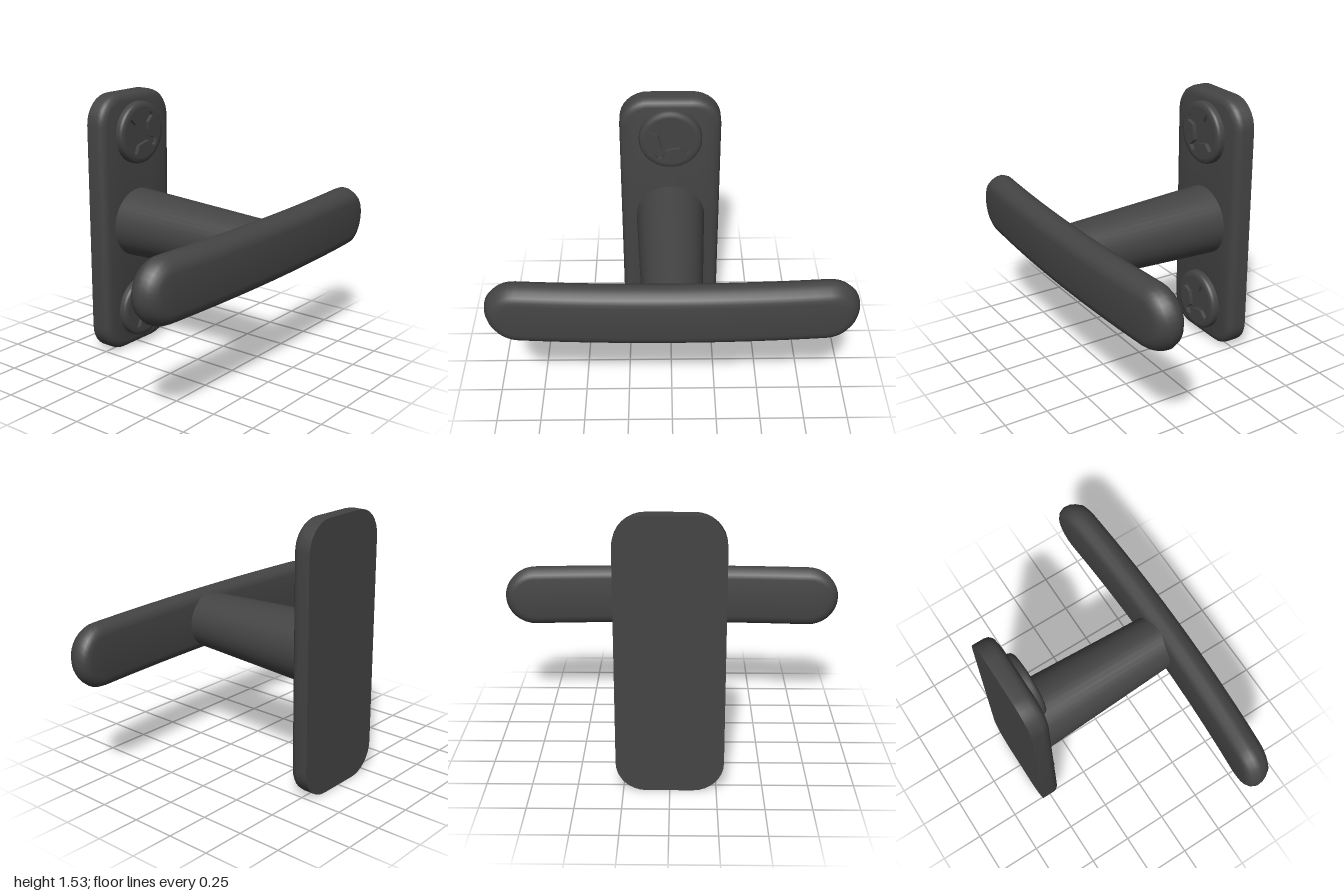
import * as THREE from 'three';
import { toCreasedNormals } from 'three/addons/utils/BufferGeometryUtils.js';

const material = new THREE.MeshStandardMaterial({ color: 0x444444 });

function add(parent, name, geometry) {
  const mesh = new THREE.Mesh(geometry, material);
  mesh.name = name;
  parent.add(mesh);
  return mesh;
}

// Counter-clockwise rounded rectangle; the lower half mirrors the upper half
function outline(hx, hy, r, spans) {
  const top = [], steps = 8;
  const arc = (cx, from) => {
    for (let i = 0; i <= steps; i++) {
      const a = from + (i / steps) * Math.PI / 2;
      top.push([cx + r * Math.cos(a), hy - r + r * Math.sin(a)]);
    }
  };
  arc(hx - r, 0);
  for (let i = 1; i < spans; i++) top.push([(hx - r) * (1 - 2 * i / spans), hy]);
  arc(r - hx, Math.PI / 2);
  return [...top, ...top.slice().reverse().map(([x, y]) => [x, -y])];
}

// Stacks inset outlines from back to front: layers are [inset, z]
function roundedSlab(hx, hy, r, spans, layers, bend = 0) {
  const pos = [], idx = [];
  let n = 0;
  for (const [inset, z] of layers) {
    const ring = outline(hx - inset, hy - inset, r - inset, spans);
    n = ring.length;
    for (const [x, y] of ring) pos.push(x, y, z - bend * x * x);
  }
  const quad = (a, b, c, d) => idx.push(a, b, c, a, c, d);
  for (let k = 0; k < layers.length - 1; k++) {
    for (let i = 0; i < n; i++) {
      const j = (i + 1) % n;
      quad(k * n + i, k * n + j, (k + 1) * n + j, (k + 1) * n + i);
    }
  }
  const f = (layers.length - 1) * n;
  for (let i = 0; i < n / 2 - 1; i++) {
    quad(f + i, f + i + 1, f + n - 2 - i, f + n - 1 - i);
    quad(n - 1 - i, n - 2 - i, i + 1, i);
  }
  const g = new THREE.BufferGeometry();
  g.setAttribute('position', new THREE.Float32BufferAttribute(pos, 3));
  g.setIndex(idx);
  return toCreasedNormals(g, 0.75);
}

// Cross-shaped driver recess with narrow arms that flare at the tips
function crossPath() {
  const points = [];
  for (let k = 0; k < 4; k++) {
    const a = (57 + 90 * k) * Math.PI / 180;
    const put = (r, w) => points.push(new THREE.Vector2(
      r * Math.cos(a) - w * Math.sin(a), r * Math.sin(a) + w * Math.cos(a)));
    put(0.075, -0.013);
    put(0.125, -0.024);
    put(0.138, 0);
    put(0.125, 0.024);
    put(0.075, 0.013);
    put(0.042, 0.042);
  }
  return new THREE.Path(points);
}

function createScrew() {
  const screw = new THREE.Group();
  // Rounded rim
  const profile = [[0.18, -0.01], [0.18, 0.022], [0.176, 0.034], [0.168, 0.042], [0.15, 0.045]]
    .map(([r, y]) => new THREE.Vector2(r, y));
  add(screw, 'screwRim', new THREE.LatheGeometry(profile, 40).rotateX(Math.PI / 2));
  // Face pierced by the recess, with a floor below it
  const face = new THREE.Shape().absarc(0, 0, 0.15, 0, Math.PI * 2);
  face.holes.push(crossPath());
  const faceGeometry = new THREE.ExtrudeGeometry(face, { depth: 0.025, bevelEnabled: false, curveSegments: 20 });
  add(screw, 'screwFace', faceGeometry.translate(0, 0, 0.02));
  add(screw, 'screwRecessFloor', new THREE.CircleGeometry(0.15, 40).translate(0, 0, 0.022));
  return screw;
}

export function createModel() {
  const model = new THREE.Group();
  model.name = 'wallHook';
  const midY = 0.763;

  // Wall plate: flat back, softened front edge
  add(model, 'wallPlate', roundedSlab(0.29, 0.765, 0.165, 1, [
    [0, -0.558], [0, -0.49], [0.005, -0.467], [0.018, -0.452], [0.045, -0.445],
  ])).position.y = 0.765;

  // Tapered stem
  add(model, 'stem', new THREE.CylinderGeometry(0.16, 0.203, 0.91, 40)
    .rotateX(Math.PI / 2).translate(0, midY, -0.015));

  // Bowed crossbar with round ends
  add(model, 'crossbar', roundedSlab(1, 0.179, 0.178, 24, [
    [0.06, 0.4], [0.035, 0.405], [0.014, 0.423], [0, 0.455],
    [0.003, 0.485], [0.016, 0.515], [0.035, 0.54], [0.06, 0.551], [0.08, 0.555],
  ], 0.045)).position.y = midY;

  // Upper and lower screws
  for (const [name, y] of [['upperScrew', 1.298], ['lowerScrew', 0.238]]) {
    const screw = createScrew();
    screw.name = name;
    screw.position.set(0, y, -0.445);
    model.add(screw);
  }
  return model;
}
